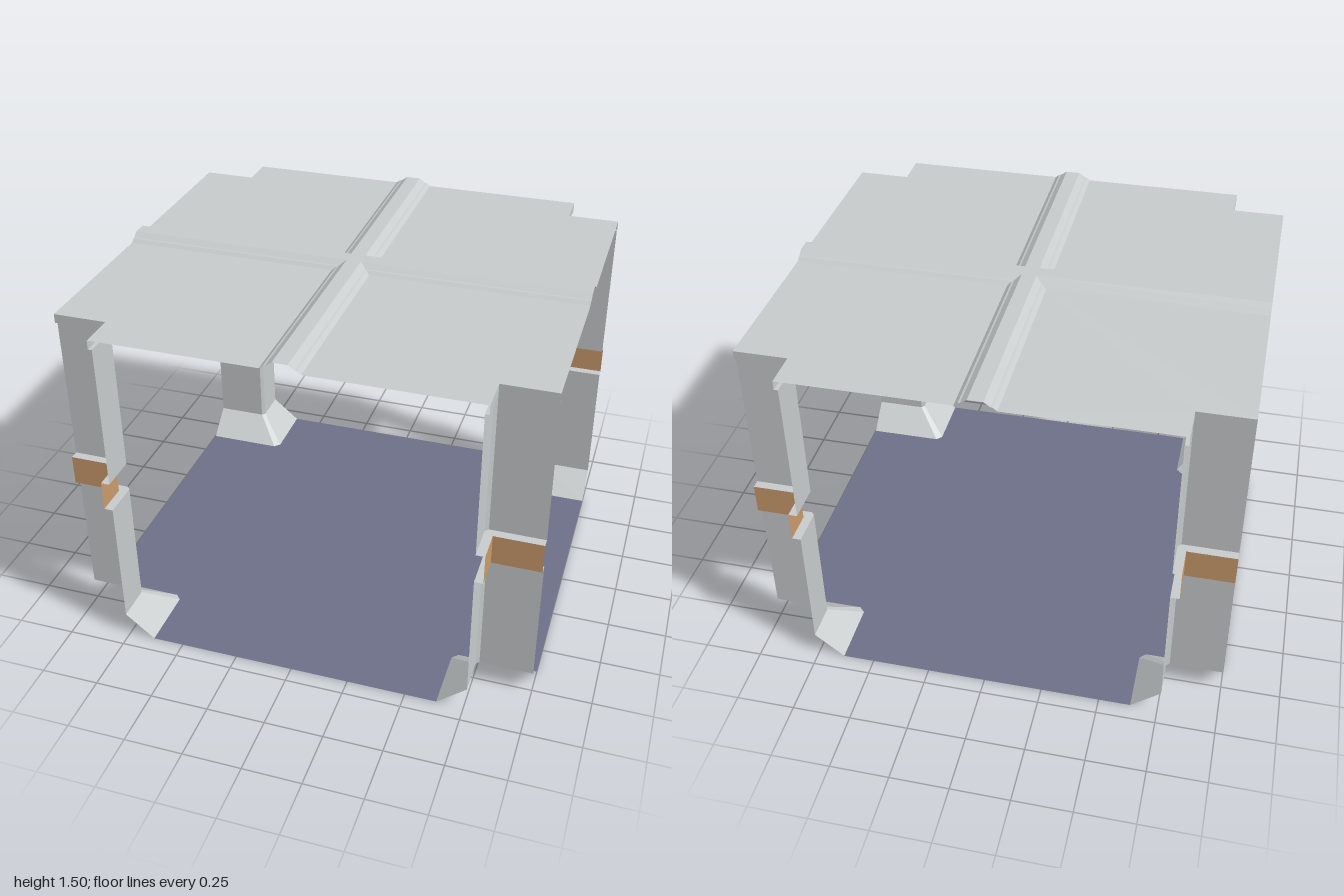
import * as THREE from 'three';

const HALF_X = 1, HALF_Z = 0.93;

// Sweeps a profile of [inset, height, bevel] along an L-shaped path round one
// corner: from the x end, past the inner corner, to the z end.
function cornerSweep(profile, sx, sz) {
  const rows = profile.map(([d, y, b = 0]) =>
    [[HALF_X, d], [d + b, d], [d, d + b], [d, HALF_Z]].map(([x, z]) => [x * sx, y, z * sz]));
  const pos = [];
  const tri = (a, b, c) => {
    if (sx * sz > 0) pos.push(...a, ...b, ...c);
    else pos.push(...a, ...c, ...b);
  };
  const same = (a, b) => a.every((v, i) => Math.abs(v - b[i]) < 1e-6);
  for (let i = 0; i < rows.length - 1; i++) {
    for (let j = 0; j < 3; j++) {
      const a = rows[i][j], b = rows[i][j + 1], c = rows[i + 1][j + 1], d = rows[i + 1][j];
      if (!same(a, b)) tri(a, b, c);
      if (!same(c, d)) tri(a, c, d);
    }
  }
  const geo = new THREE.BufferGeometry();
  geo.setAttribute('position', new THREE.Float32BufferAttribute(pos, 3));
  geo.computeVertexNormals();
  return geo;
}

export function createModel() {
  const material = (name, color) =>
    new THREE.MeshStandardMaterial({ name, color, side: THREE.DoubleSide });
  const panelGrey = material('panelGrey', 0xc8cccd);
  const bandOrange = material('bandOrange', 0xcb9c6c);
  const floorBlue = material('floorBlue', 0x6e7089);

  // Profiles run from the middle of the floor, up the post, to the ceiling ridge
  const parts = [
    ['floor', floorBlue, [[0, 0], [0.635, 0, 0.025]]],
    ['lowerPost', panelGrey, [
      [0.635, 0, 0.025], [0.76, 0.105, 0.014], [0.76, 0.67, 0.014], [0.797, 0.67]]],
    ['postBand', bandOrange, [[0.797, 0.67], [0.797, 0.8]]],
    ['upperPost', panelGrey, [
      [0.797, 0.8], [0.76, 0.8, 0.014], [0.76, 1.428, 0.014], [0.777, 1.428], [0.777, 1.467]]],
    ['ceilingPanel', panelGrey, [[0.777, 1.467], [0.082, 1.467]]],
    ['ceilingRidge', panelGrey, [
      [0.082, 1.467], [0.066, 1.48], [0.057, 1.482], [0.031, 1.5], [0, 1.5]]],
  ];

  const model = new THREE.Group();
  model.name = 'corridorCrossing';
  for (const sx of [1, -1]) {
    for (const sz of [1, -1]) {
      const corner = new THREE.Group();
      corner.name = (sz > 0 ? 'front' : 'back') + (sx > 0 ? 'Left' : 'Right') + 'Corner';
      for (const [name, mat, profile] of parts) {
        const mesh = new THREE.Mesh(cornerSweep(profile, sx, sz), mat);
        mesh.name = name;
        corner.add(mesh);
      }
      model.add(corner);
    }
  }
  return model;
}
